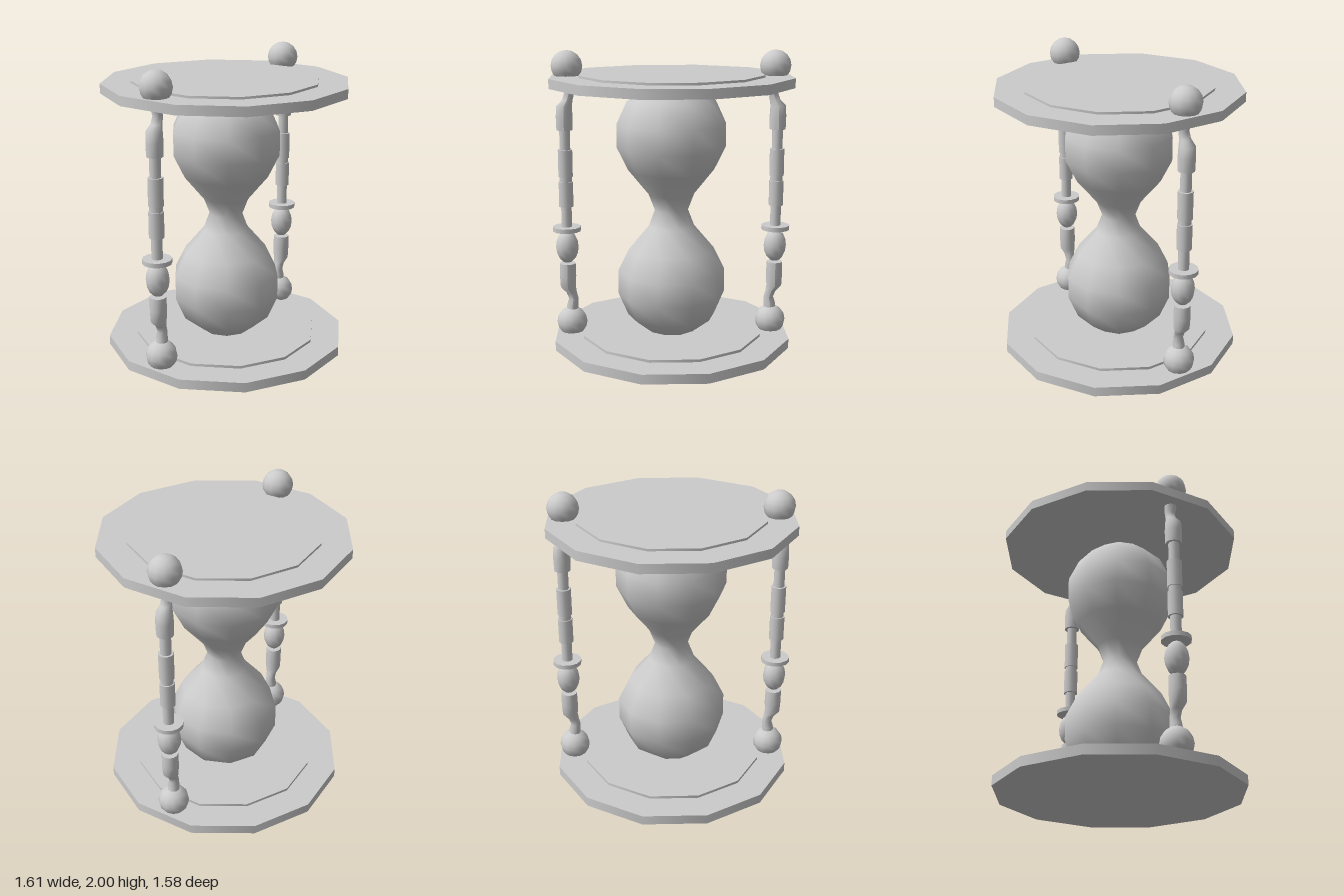
import * as THREE from 'three';

const material = new THREE.MeshStandardMaterial({ color: 0xcccccc });

function add(parent, name, geometry, x = 0, y = 0, z = 0) {
  const mesh = new THREE.Mesh(geometry, material);
  mesh.name = name;
  mesh.position.set(x, y, z);
  parent.add(mesh);
  return mesh;
}

// Upright twelve-sided cylinder between two heights
function drum(parent, name, radius, y0, y1, x = 0) {
  const geometry = new THREE.CylinderGeometry(radius, radius, y1 - y0, 12);
  geometry.rotateY(Math.PI / 12);
  return add(parent, name, geometry, x, (y0 + y1) / 2);
}

// Bent, tapering leg: stations are [y, centre x, radius], from top to bottom
function bentLeg(parent, name, stations) {
  const rows = stations.length - 1;
  const geometry = new THREE.CylinderGeometry(1, 1, 1, 12, rows);
  const p = geometry.attributes.position;
  for (let i = 0; i < p.count; i++) {
    const [y, cx, r] = stations[Math.round((0.5 - p.getY(i)) * rows)];
    p.setXYZ(i, cx + p.getX(i) * r, y, p.getZ(i) * r);
  }
  geometry.computeVertexNormals();
  return add(parent, name, geometry);
}

// Turned post; side is +1 or -1 and mirrors the outward bend
function post(name, side) {
  const group = new THREE.Group();
  group.name = name;
  const x = side * 0.712, ballX = side * 0.689;

  add(group, 'lowerBall', new THREE.SphereGeometry(0.104, 12, 8), ballX, 0.131);
  add(group, 'upperBall', new THREE.SphereGeometry(0.104, 12, 8), ballX, 1.896);

  const egg = add(group, 'eggBead', new THREE.SphereGeometry(1, 12, 8), x, 0.667);
  egg.scale.set(0.077, 0.114, 0.077);

  drum(group, 'collarDisc', 0.096, 0.78, 0.81, x);
  drum(group, 'shaft', 0.036, 0.8, 1.48, x);
  drum(group, 'lowerSleeve', 0.049, 0.95, 1.12, x);
  drum(group, 'ring', 0.042, 1.12, 1.155, x);
  drum(group, 'upperSleeve', 0.049, 1.155, 1.34, x);

  bentLeg(group, 'lowerLeg', [
    [0.55, x, 0.054], [0.46, x, 0.056], [0.38, x, 0.052], [0.34, side * 0.69, 0.036],
    [0.295, side * 0.676, 0.033], [0.25, side * 0.684, 0.039], [0.16, side * 0.689, 0.042],
  ]);
  bentLeg(group, 'upperLeg', [
    [1.84, side * 0.689, 0.042], [1.76, side * 0.684, 0.039], [1.715, side * 0.676, 0.033],
    [1.67, side * 0.69, 0.036], [1.63, x, 0.052], [1.56, x, 0.056], [1.472, x, 0.054],
  ]);
  group.position.z = -0.012;
  return group;
}

export function createModel() {
  const model = new THREE.Group();
  model.name = 'hourglass';

  // Twelve-sided end plates, each with a raised inner plate
  drum(model, 'basePlate', 0.817, 0, 0.065);
  drum(model, 'baseInset', 0.621, 0.06, 0.083);
  drum(model, 'topPlate', 0.817, 1.77, 1.833);
  drum(model, 'topInset', 0.621, 1.825, 1.848);

  // Two-bulb glass, ten-sided, turned slightly off the x axis
  const profile = [
    [0, 0.03], [0.16, 0.075], [0.3, 0.185], [0.366, 0.34], [0.366, 0.5], [0.29, 0.655],
    [0.155, 0.815], [0.113, 0.925], [0.155, 1.035], [0.29, 1.2], [0.366, 1.355],
    [0.366, 1.515], [0.297, 1.665], [0.16, 1.775], [0, 1.81],
  ].map(([r, y]) => new THREE.Vector2(r, y));
  const glass = add(model, 'glass', new THREE.LatheGeometry(profile, 10));
  glass.rotation.y = Math.PI / 2 + 0.045;

  model.add(post('leftPost', 1), post('rightPost', -1));
  return model;
}
